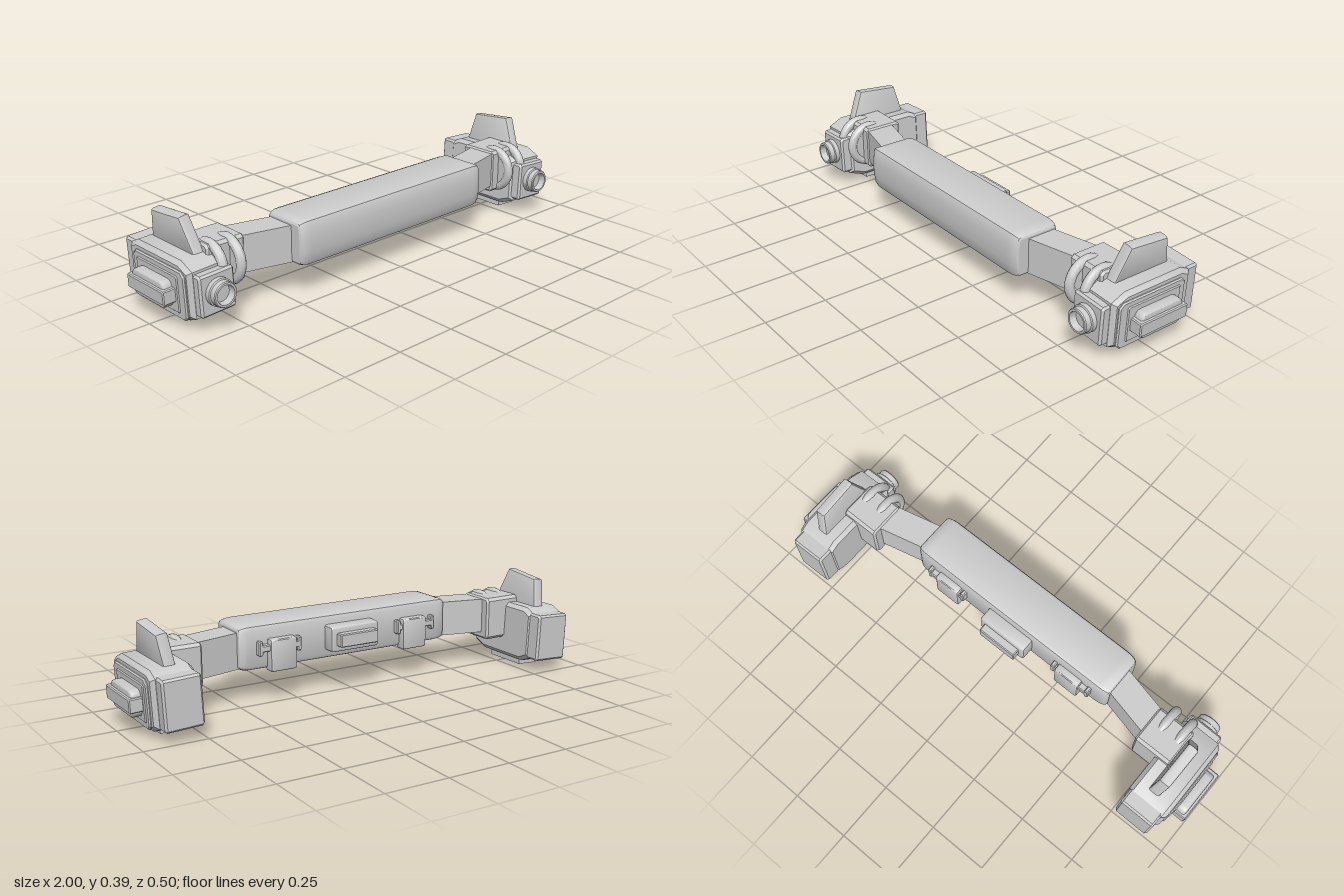
import * as THREE from 'three';
import { toCreasedNormals } from 'three/addons/utils/BufferGeometryUtils.js';

const grey = new THREE.MeshStandardMaterial({ color: 0xcccccc });
grey.name = 'light grey';

function mesh(name, geometry, crease = 0.5) {
  const m = new THREE.Mesh(toCreasedNormals(geometry, crease), grey);
  m.name = name;
  return m;
}

// Outline given as [z, y] points, extruded from x0 to x1 with bevelled ends
function slab(name, pts, x0, x1, bevel = 0.008, thick = bevel, segs = 1) {
  const shape = new THREE.Shape(pts.map(([z, y]) => new THREE.Vector2(-z, y)));
  const g = new THREE.ExtrudeGeometry(shape, {
    depth: x1 - x0 - 2 * thick, bevelSize: bevel, bevelThickness: thick,
    bevelOffset: -bevel, bevelSegments: segs,
  });
  g.rotateY(Math.PI / 2).translate(x0 + thick, 0, 0);
  return mesh(name, g);
}

// Rectangle with corners of radius c, as [z, y] points; one step cuts them straight
function cornerRect(z0, z1, y0, y1, c, steps = 1) {
  const pts = [];
  const centres = [[z1 - c, y1 - c], [z0 + c, y1 - c], [z0 + c, y0 + c], [z1 - c, y0 + c]];
  centres.forEach(([z, y], q) => {
    for (let i = 0; i <= steps; i++) {
      const a = (q + i / steps) * Math.PI / 2;
      pts.push([z + c * Math.cos(a), y + c * Math.sin(a)]);
    }
  });
  return pts;
}

function block(name, x0, x1, y0, y1, z0, z1, cut = 0.008) {
  return slab(name, cornerRect(z0, z1, y0, y1, cut), x0, x1, Math.min(cut, 0.008));
}

// Mirrored copy with the winding of each triangle reversed
function mirrored(source) {
  const out = new THREE.Group();
  out.name = source.name.replace('left', 'right');
  source.updateMatrixWorld(true);
  source.traverse((o) => {
    if (!o.isMesh) return;
    const g = o.geometry.clone().applyMatrix4(o.matrixWorld).scale(-1, 1, 1);
    const p = g.attributes.position;
    const v = new THREE.Vector3(), w = new THREE.Vector3();
    for (let i = 0; i < p.count; i += 3) {
      v.fromBufferAttribute(p, i);
      w.fromBufferAttribute(p, i + 2);
      p.setXYZ(i, w.x, w.y, w.z);
      p.setXYZ(i + 2, v.x, v.y, v.z);
    }
    out.add(mesh(o.name, g));
  });
  return out;
}

function buildHousing() {
  const h = new THREE.Group();
  h.name = 'housing';
  // Eight-sided body with stepped side panel
  const outline = [[0.11, 0.262], [0.17, 0.235], [0.17, 0.055], [0.105, 0.03],
    [-0.145, 0.03], [-0.2, 0.055], [-0.2, 0.24], [-0.155, 0.262]];
  h.add(slab('housingBody', outline, 0.76, 0.935, 0.016));
  h.add(slab('sidePanel', cornerRect(-0.165, 0.147, 0.042, 0.232, 0.018), 0.92, 0.943, 0.005));
  h.add(slab('sidePanelInset', cornerRect(-0.14, 0.11, 0.065, 0.21, 0.006), 0.93, 0.947, 0.004));
  // Side handle: rounded pad crossed by a bar
  h.add(slab('sidePad', cornerRect(-0.12, 0.08, 0.083, 0.187, 0.028, 5), 0.94, 0.985, 0.01, 0.01, 3));
  h.add(block('sideBar', 0.94, 0.998, 0.108, 0.163, -0.13, 0.095, 0.004));
  // Rear block and front plate
  h.add(block('rearBlock', 0.765, 0.918, 0.05, 0.245, -0.25, -0.18, 0.008));
  h.add(block('frontPlate', 0.768, 0.918, 0.065, 0.225, 0.14, 0.204, 0.008));

  // Lens barrel with a recessed centre
  const profile = [[0.053, 0.195], [0.053, 0.222], [0.048, 0.225], [0.048, 0.246],
    [0.045, 0.25], [0.037, 0.25], [0.034, 0.222], [0, 0.222]];
  const lens = new THREE.LatheGeometry(profile.map(([r, z]) => new THREE.Vector2(r, z)), 32);
  lens.rotateX(Math.PI / 2).translate(0.843, 0.15, 0);
  h.add(mesh('lensBarrel', lens));

  // Vent frame under the body with three openings
  const rect = (C, x0, x1, z0, z1) => new C([[x0, z0], [x1, z0], [x1, z1], [x0, z1]]
    .map(([x, z]) => new THREE.Vector2(x, z)));
  const frame = rect(THREE.Shape, 0.79, 0.885, -0.112, 0.078);
  for (let i = 0; i < 3; i++) {
    const z = -0.094 + i * 0.055;
    frame.holes.push(rect(THREE.Path, 0.806, 0.869, z, z + 0.043));
  }
  const vent = new THREE.ExtrudeGeometry(frame, { depth: 0.033, bevelEnabled: false });
  vent.rotateX(Math.PI / 2).translate(0, 0.037, 0);
  h.add(mesh('bottomVent', vent));

  // Upright fin leaning outward
  const fin = slab('topFin', [[0.115, -0.01], [0.05, 0.142], [-0.125, 0.125], [-0.155, -0.01]],
    -0.023, 0.023, 0.007, 0.012, 3);
  fin.position.set(0.84, 0.25, 0);
  fin.rotation.z = -0.09;
  h.add(fin);

  // Slight roll of the whole housing
  const roll = new THREE.Group();
  roll.name = 'housingRoll';
  h.position.set(-0.845, -0.15, 0);
  roll.add(h);
  roll.position.set(0.845, 0.15, 0);
  roll.rotation.z = -0.05;
  return roll;
}

function buildSide() {
  const side = new THREE.Group();
  side.name = 'left side';
  // Angled strap from the grip to the connector
  const s = new THREE.Shape([[0.44, 0.06], [0.69, 0], [0.69, 0.12], [0.44, 0.18]]
    .map(([x, z]) => new THREE.Vector2(x, -z)));
  const strap = new THREE.ExtrudeGeometry(s, { depth: 0.145, bevelEnabled: false });
  strap.rotateX(-Math.PI / 2).translate(0, 0.14, 0);
  side.add(mesh('strap', strap));

  // Connector box and its front hinge rings
  side.add(block('connectorBox', 0.665, 0.83, 0.112, 0.292, -0.033, 0.13, 0.012));
  for (const x of [0.72, 0.798]) {
    const ring = new THREE.TorusGeometry(0.08, 0.019, 12, 32);
    ring.rotateY(Math.PI / 2).translate(x, 0.205, 0.097);
    side.add(mesh('hingeRing', ring, 1));
    const disc = new THREE.CylinderGeometry(0.075, 0.075, 0.026, 28);
    disc.rotateZ(Math.PI / 2).translate(x, 0.205, 0.097);
    side.add(mesh('hingeDisc', disc));
  }

  // Clip on the back of the grip
  side.add(slab('clipBody', cornerRect(-0.005, 0.045, 0.122, 0.252, 0.01, 3), 0.25, 0.365, 0.008, 0.008, 2));
  side.add(block('clipBar', 0.225, 0.412, 0.205, 0.232, 0.002, 0.035, 0.004));
  for (const x of [0.225, 0.394]) {
    side.add(block('clipEnd', x, x + 0.018, 0.19, 0.248, 0.002, 0.035, 0.004));
  }
  side.add(buildHousing());
  return side;
}

export function createModel() {
  const model = new THREE.Group();
  model.name = 'headband device';

  // Padded central grip with a softly bulged front and tapered ends
  const pad = [[0.205, 0.31], [0.219, 0.305], [0.226, 0.29], [0.231, 0.255], [0.233, 0.22],
    [0.231, 0.185], [0.226, 0.15], [0.219, 0.136], [0.203, 0.13],
    [0.05, 0.13], [0.034, 0.136], [0.027, 0.15], [0.027, 0.288], [0.034, 0.304], [0.05, 0.31]];
  model.add(slab('centralPad', pad, -0.484, 0.484, 0.018, 0.05, 4));

  // Stepped control block on the back of the pad
  model.add(slab('backBase', cornerRect(-0.03, 0.04, 0.168, 0.272, 0.012, 3), -0.113, 0.107, 0.01, 0.012, 3));
  model.add(block('backBar', -0.09, 0.084, 0.193, 0.247, -0.063, 0, 0.004));

  const left = buildSide();
  model.add(left, mirrored(left));
  return model;
}
